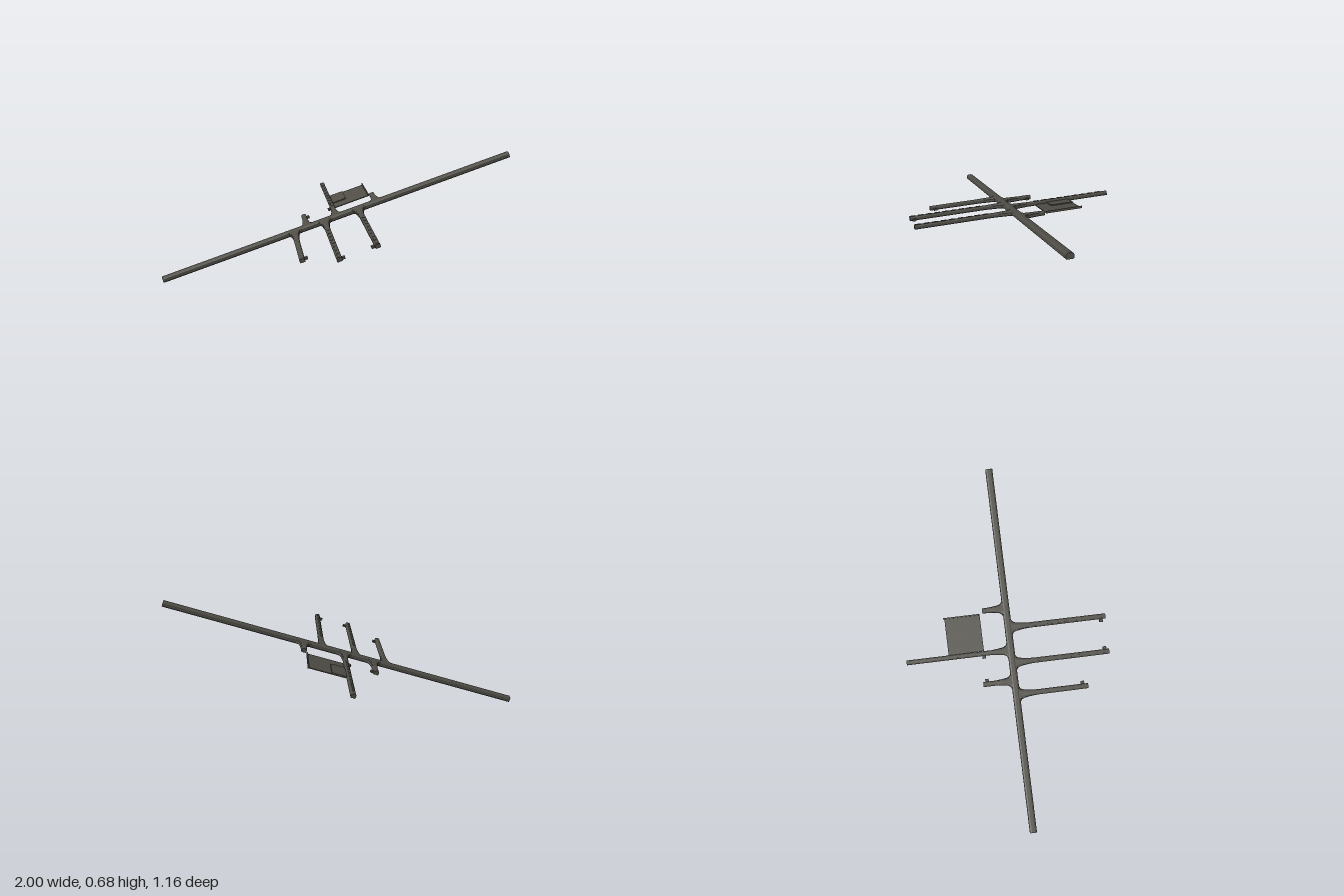
import * as THREE from 'three';

const stone = new THREE.MeshStandardMaterial({ color: 0x504e47 });
stone.name = 'darkStone';

const TILT = THREE.MathUtils.degToRad(18.1);
const COS = Math.cos(TILT);

// Arched tunnel cross-section: [share of half width, share of half height]
const ARCH = [[-0.85, -1], [0.85, -1], [1, -0.75], [1, 0.45], [0.82, 0.8], [0.45, 1], [-0.45, 1], [-0.82, 0.8], [-1, 0.45], [-1, -0.75]];

// Lofts the arch along +z through stations [z, halfWidth, halfHeight]
function loft(stations) {
  const n = ARCH.length, pos = [], index = [];
  for (const [z, w, h] of stations) for (const [a, b] of ARCH) pos.push(a * w, b * h, z);
  for (let s = 0; s < stations.length - 1; s++) {
    for (let i = 0; i < n; i++) {
      const a = s * n + i, b = s * n + (i + 1) % n;
      index.push(a, b, b + n, a, b + n, a + n);
    }
  }
  const last = (stations.length - 1) * n;
  for (let i = 1; i < n - 1; i++) {
    index.push(0, i + 1, i);
    index.push(last, last + i, last + i + 1);
  }
  const indexed = new THREE.BufferGeometry();
  indexed.setAttribute('position', new THREE.Float32BufferAttribute(pos, 3));
  indexed.setIndex(index);
  const geo = indexed.toNonIndexed();
  geo.computeVertexNormals();
  return geo;
}

function add(parent, name, geo, x = 0, y = 0, z = 0) {
  const mesh = new THREE.Mesh(geo, stone);
  mesh.name = name;
  mesh.position.set(x, y, z);
  parent.add(mesh);
  return mesh;
}

const box = (parent, name, w, h, d, x, y, z) => add(parent, name, new THREE.BoxGeometry(w, h, d), x, y, z);

// Side gallery with a flared mouth; dir is +1 to the front, -1 to the back
function gallery(parent, name, x, reach, dir, width, ribbed) {
  const g = new THREE.Group();
  g.name = name;
  g.position.set(x / COS, 0, 0.015);
  if (dir < 0) g.rotation.y = Math.PI;
  const len = reach - dir * 0.015;
  const front = [[0.012, 0.056], [0.02, 0.045], [0.028, 0.031], [0.045, 0.024], [0.075, 0.019], [0.12, 0.015]];
  const back = [[0.012, 0.056], [0.02, 0.045], [0.027, 0.031], [0.04, 0.023], [0.07, 0.018], [0.11, width]];
  const flare = dir > 0 ? front : back;
  add(g, name + 'Tunnel', loft([...flare.map(([z, w]) => [z, w, z < 0.1 ? 0.0125 : 0.0115]), [len, width, 0.0115]]));
  // shallow roof segments
  if (ribbed) {
    for (let z = 0.15; z < len - 0.03; z += 0.047) {
      box(g, 'roofSegment', width * 0.9, 0.003, 0.032, 0, 0.0125, z + 0.016);
    }
  }
  parent.add(g);
}

export function createModel() {
  const model = new THREE.Group();
  model.name = 'slopingTunnels';
  const slope = new THREE.Group();
  slope.name = 'slopingPlane';
  slope.rotation.z = TILT;
  slope.position.y = 0.34;
  model.add(slope);

  // Main shaft along the slope
  const shaft = add(slope, 'mainShaft', loft([[-1.047, 0.02, 0.015], [1.047, 0.02, 0.015]]), 0, 0, 0.015);
  shaft.rotation.y = Math.PI / 2;

  // Side galleries
  gallery(slope, 'frontLowerGallery', -0.245, 0.43, 1, 0.0145, false);
  gallery(slope, 'frontMiddleGallery', -0.072, 0.575, 1, 0.0145, true);
  gallery(slope, 'frontUpperGallery', 0.122, 0.578, 1, 0.0145, true);
  gallery(slope, 'backLowerGallery', -0.17, 0.165, -1, 0.0145, false);
  gallery(slope, 'backMiddleGallery', -0.003, 0.583, -1, 0.0135, true);
  gallery(slope, 'backUpperGallery', 0.228, 0.122, -1, 0.0145, false);

  // Small side niches near the gallery ends
  for (const [x, z] of [[-0.226, 0.4], [-0.053, 0.552], [0.102, 0.552], [-0.152, -0.142], [-0.02, -0.142]]) {
    box(slope, 'sideNiche', 0.022, 0.012, 0.02, x / COS, -0.006, z);
  }

  // Thin chamber slab beside the back gallery
  const chamber = new THREE.Group();
  chamber.name = 'chamber';
  slope.add(chamber);
  box(chamber, 'chamberSlab', 0.213, 0.005, 0.203, 0.118, -0.008, -0.2405);
  box(chamber, 'chamberEdge', 0.007, 0.012, 0.208, 0.222, -0.004, -0.244);

  // Raised inner floor with one rounded corner
  const floor = new THREE.Shape();
  floor.moveTo(0.01, 0.21);
  floor.lineTo(0.078, 0.21);
  floor.quadraticCurveTo(0.093, 0.21, 0.093, 0.226);
  floor.lineTo(0.093, 0.341);
  floor.lineTo(0.01, 0.341);
  const raised = add(chamber, 'raisedFloor', new THREE.ExtrudeGeometry(floor, { depth: 0.007, bevelEnabled: false, curveSegments: 5 }), 0, -0.007, 0);
  raised.rotation.x = -Math.PI / 2;

  return model;
}
